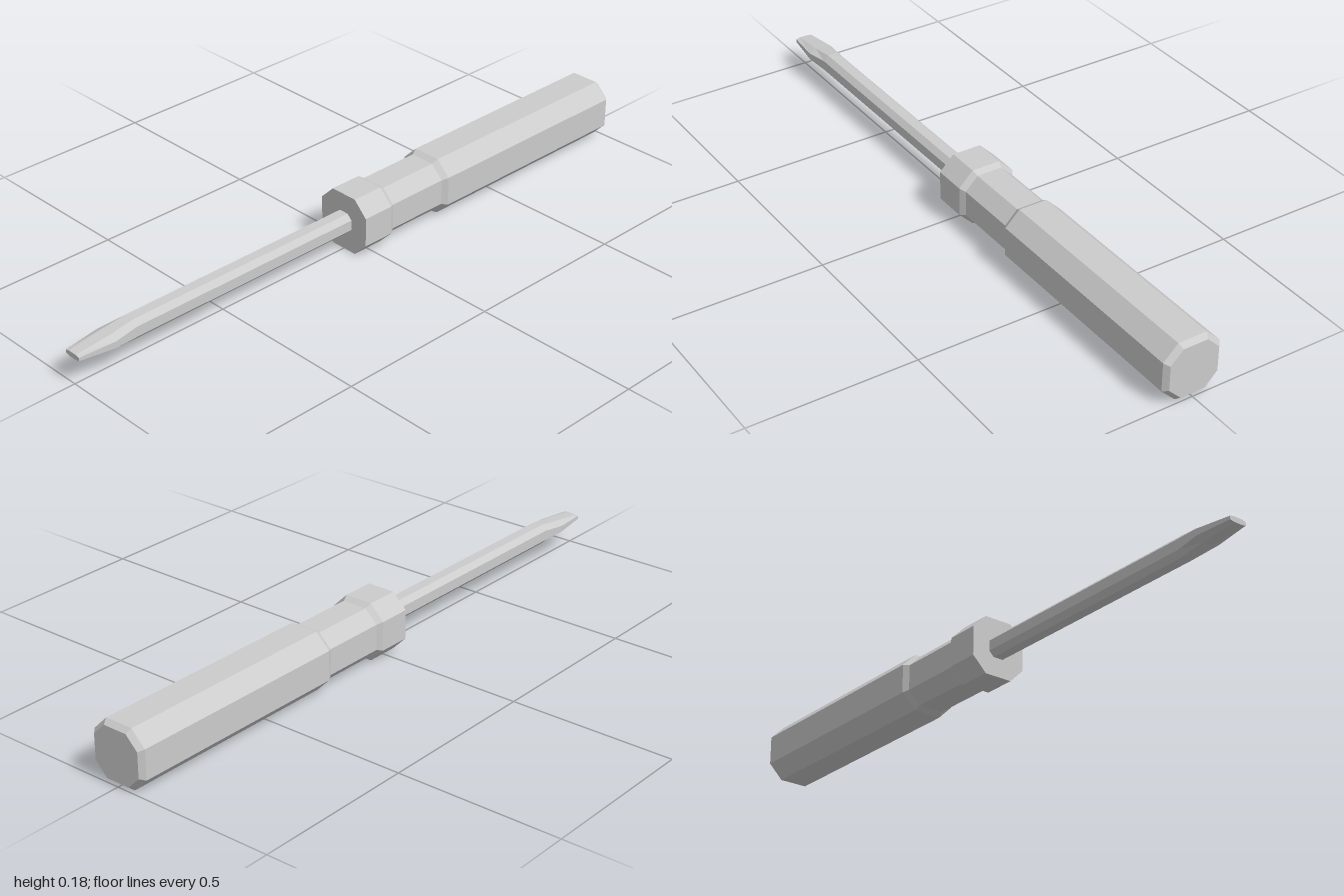
import * as THREE from 'three';

const AXIS_Y = 0.0885;

// Eight corners of a chamfered rectangle, counterclockwise seen from +z.
// w, h: half width and half height; cw, ch: half lengths of the flat edges.
function octagon({ z, w, h = w, cw = w / 2, ch = h / 2 }) {
  return [[w, -ch], [w, ch], [cw, h], [-cw, h], [-w, ch], [-w, -ch], [-cw, -h], [cw, -h]]
    .map(([x, y]) => [x, y, z]);
}

// Closed, flat-faced loft through octagonal sections ordered from back to front.
function loft(name, sections, material) {
  const rings = sections.map(octagon);
  const positions = [];
  const tri = (a, b, c) => positions.push(...a, ...b, ...c);
  for (let s = 0; s < rings.length - 1; s++) {
    for (let i = 0; i < 8; i++) {
      const j = (i + 1) % 8;
      const a = rings[s], b = rings[s + 1];
      tri(a[i], a[j], b[j]);
      tri(a[i], b[j], b[i]);
    }
  }
  const back = rings[0], front = rings[rings.length - 1];
  for (let i = 1; i < 7; i++) {
    tri(back[0], back[i + 1], back[i]);
    tri(front[0], front[i], front[i + 1]);
  }
  const geometry = new THREE.BufferGeometry();
  geometry.setAttribute('position', new THREE.Float32BufferAttribute(positions, 3));
  geometry.computeVertexNormals();
  const mesh = new THREE.Mesh(geometry, material);
  mesh.name = name;
  mesh.position.y = AXIS_Y;
  return mesh;
}

export function createModel() {
  const group = new THREE.Group();
  group.name = 'screwdriver';
  const material = new THREE.MeshStandardMaterial({ color: 0xcccccc, flatShading: true });

  // Grip with bevelled butt, recessed neck and front collar
  group.add(loft('handle', [
    { z: -1, w: 0.076 },
    { z: -0.985, w: 0.0885 },
    { z: -0.285, w: 0.0885 },
    { z: -0.267, w: 0.078 },
    { z: -0.07, w: 0.078 },
    { z: -0.053, w: 0.0885 },
    { z: 0.047, w: 0.0885 },
  ], material));

  // Shaft that flares sideways and thins down to a flat tip
  group.add(loft('shaftAndBlade', [
    { z: 0.03, w: 0.031 },
    { z: 0.815, w: 0.031 },
    { z: 0.89, w: 0.04, h: 0.021, cw: 0.018, ch: 0.01 },
    { z: 1, w: 0.027, h: 0.008, cw: 0.014, ch: 0.005 },
  ], material));

  return group;
}
